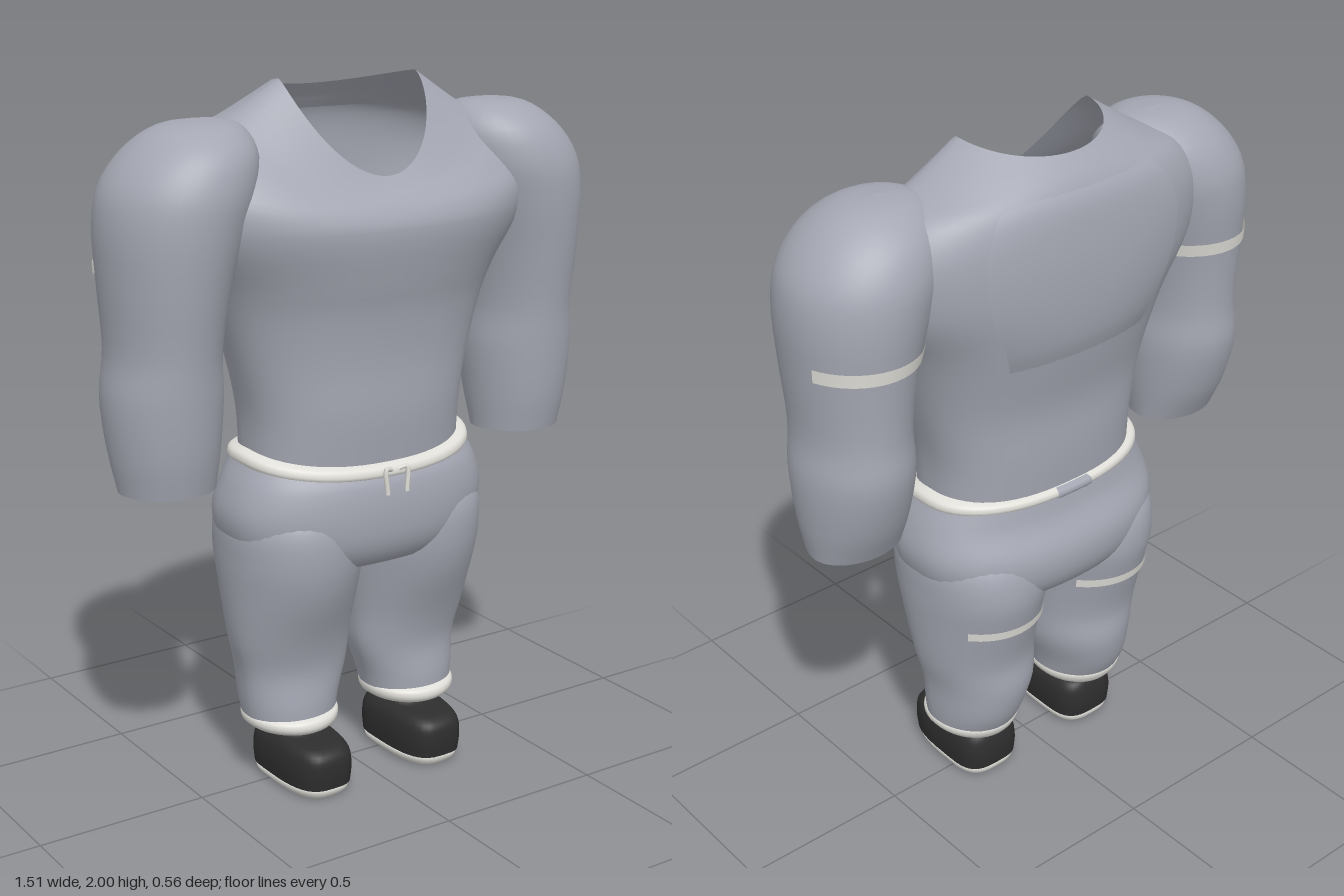
import * as THREE from 'three';

const make = (name, color) => {
  const m = new THREE.MeshStandardMaterial({ color, side: THREE.DoubleSide });
  m.name = name;
  return m;
};

// One ring point. Ring: [y, centreX, radiusX, zFront, zBack, squareness, yFront, yBack]
function ringPoint([y, cx, rx, zF, zB, n = 2, yF = y, yB = y], angle) {
  const c = Math.cos(angle), s = Math.sin(angle);
  const px = Math.sign(c) * Math.abs(c) ** (2 / n);
  const pz = Math.abs(s) ** (2 / n);
  return new THREE.Vector3(cx + rx * px,
    y + ((s > 0 ? yF : yB) - y) * Math.abs(s) ** 1.3,
    pz * (s > 0 ? zF : zB));
}

// Skin a smooth surface through rings listed bottom to top; a0..a1 limits it to a sector
function loft(rings, steps = 4, a0 = 0, a1 = Math.PI * 2, seg = 40) {
  const closed = a1 - a0 > 6.28;
  const cols = closed ? seg : seg + 1;
  const rows = (rings.length - 1) * steps + 1;
  const pos = [], index = [];
  for (let j = 0; j < cols; j++) {
    const angle = a0 + (a1 - a0) * j / seg;
    const curve = new THREE.CatmullRomCurve3(rings.map(r => ringPoint(r, angle)));
    for (let i = 0; i < rows; i++) pos.push(...curve.getPoint(i / (rows - 1)).toArray());
  }
  for (let j = 0; j < seg; j++) {
    for (let i = 0; i < rows - 1; i++) {
      const a = j * rows + i, b = ((j + 1) % cols) * rows + i;
      index.push(a, a + 1, b, b, a + 1, b + 1);
    }
  }
  const g = new THREE.BufferGeometry();
  g.setAttribute('position', new THREE.Float32BufferAttribute(pos, 3));
  g.setIndex(index);
  g.computeVertexNormals();
  return g;
}

const mirror = (rings, side) => rings.map(([y, cx, ...rest]) => [y, cx * side, ...rest]);
const inflate = ([y, cx, rx, f, b, ...rest], k) => [y, cx, rx * k, f * k, b * k, ...rest];

export function createModel() {
  const cloth = make('grey cloth', 0xa4a7b2);
  const trim = make('pale trim', 0xdfded8);
  const black = make('shoe black', 0x2e2e2e);

  const model = new THREE.Group();
  model.name = 'outfit';
  const add = (name, geometry, material) => {
    const mesh = new THREE.Mesh(geometry, material);
    mesh.name = name;
    model.add(mesh);
    return mesh;
  };

  // Shirt body: widens into the sleeves at the chest and ends in a scooped neckline
  const torso = [
    [0.96, 0, 0.33, 0.2, -0.2, 2.4],
    [1.1, 0, 0.335, 0.213, -0.21, 2.4],
    [1.25, 0, 0.37, 0.215, -0.215, 2.3],
    [1.39, 0, 0.415, 0.232, -0.245, 2.2],
    [1.48, 0, 0.455, 0.254, -0.262, 2.2],
    [1.62, 0, 0.54, 0.278, -0.274, 2.3],
    [1.75, 0, 0.55, 0.26, -0.27, 2.4, 1.67, 1.77],
    [1.845, 0, 0.49, 0.235, -0.258, 2.3, 1.7, 1.86],
    [1.902, 0, 0.375, 0.215, -0.235, 2.2, 1.72, 1.91],
    [2, 0, 0.22, 0.19, -0.19, 2, 1.75, 1.96],
  ];
  add('shirtBody', loft(torso, 4, 0, Math.PI * 2, 64), cloth);

  // Raised back panel, sinking into the shirt at top and bottom
  const lift = [0.98, 1.03, 1.035, 1.03, 1.02, 0.98];
  add('backPanel', loft(torso.slice(3, 9).map((r, i) => inflate(r, lift[i])),
    4, Math.PI * 1.33, Math.PI * 1.67, 24), cloth);

  // Hips, open underneath where the legs join
  add('hips', loft([
    [0.645, 0, 0.2, 0.08, -0.1, 2.4],
    [0.67, 0, 0.3, 0.19, -0.215, 2.4],
    [0.73, 0, 0.383, 0.232, -0.256, 2.4],
    [0.82, 0, 0.409, 0.245, -0.262, 2.4],
    [0.91, 0, 0.388, 0.237, -0.225, 2.4],
    [0.98, 0, 0.355, 0.218, -0.212, 2.4, 0.95, 0.98],
  ], 4, 0, Math.PI * 2, 56), cloth);

  // Gusset closing the seam between the legs
  const gusset = add('gusset', new THREE.SphereGeometry(1, 20, 12), cloth);
  gusset.scale.set(0.05, 0.025, 0.12);
  gusset.position.set(0, 0.66, -0.015);

  // Thin waistband, dipping at the front, with a cloth flap over it at the back
  const band = [
    [0.965, 0, 0.35, 0.21, -0.205, 2.3, 0.925, 0.96],
    [0.978, 0, 0.366, 0.232, -0.219, 2.3, 0.934, 0.972],
    [1.0, 0, 0.362, 0.228, -0.217, 2.3, 0.957, 0.988],
    [1.01, 0, 0.335, 0.205, -0.202, 2.3, 0.967, 0.995],
  ];
  add('waistband', loft(band, 3, 0, Math.PI * 2, 56), trim);
  add('backFlap', loft(band.map(r => inflate(r, 1.025)), 3, Math.PI * 1.46, Math.PI * 1.54, 8), cloth);

  for (const side of [1, -1]) {
    const sideName = side > 0 ? 'left' : 'right';
    const limb = (name, rings, material, ...rest) =>
      add(sideName + name, loft(mirror(rings, side), ...rest), material);

    // Drawstring end
    const cord = new THREE.CatmullRomCurve3([
      new THREE.Vector3(0.012 * side, 0.95, 0.229),
      new THREE.Vector3(0.034 * side, 0.955, 0.237),
      new THREE.Vector3(0.032 * side, 0.885, 0.242),
    ]);
    add(sideName + 'Drawstring', new THREE.TubeGeometry(cord, 12, 0.007, 6), trim);

    // Sleeve with a rounded shoulder and open wrist
    const sleeve = [
      [0.945, 0.587, 0.135, 0.135, -0.1],
      [1.05, 0.59, 0.15, 0.155, -0.15],
      [1.2, 0.59, 0.16, 0.17, -0.19],
      [1.32, 0.586, 0.15, 0.18, -0.185],
      [1.5, 0.577, 0.17, 0.205, -0.195],
      [1.65, 0.556, 0.197, 0.222, -0.21],
      [1.75, 0.53, 0.205, 0.22, -0.205],
      [1.84, 0.495, 0.175, 0.185, -0.165],
      [1.9, 0.47, 0.11, 0.105, -0.085],
      [1.915, 0.465, 0.0005, 0.0005, -0.0005],
    ];
    limb('Sleeve', sleeve, cloth);
    limb('SleeveLining', sleeve.slice(0, 3).map(r => inflate(r, 0.95)), trim);

    // Pale slit across the back of the sleeve
    limb('SleeveSlit', [
      [1.515, 0.577, 0.176, 0.21, -0.203],
      [1.552, 0.573, 0.182, 0.215, -0.208],
    ], trim, 1, Math.PI * 1.12, Math.PI * 1.88, 20);

    // Trouser leg, blending into the hips and gathered above the ankle
    limb('TrouserLeg', [
      [0.19, 0.205, 0.135, 0.12, -0.13, 2, 0.19, 0.17],
      [0.25, 0.203, 0.145, 0.12, -0.17],
      [0.35, 0.192, 0.165, 0.115, -0.192],
      [0.45, 0.2, 0.18, 0.14, -0.19],
      [0.6, 0.202, 0.194, 0.2, -0.228],
      [0.7, 0.202, 0.199, 0.222, -0.248, 2.1],
      [0.8, 0.202, 0.195, 0.22, -0.235, 2.1],
      [0.88, 0.19, 0.165, 0.18, -0.18, 2.1],
    ], cloth);

    // Pale slit across the back of the thigh
    limb('ThighSlit', [
      [0.585, 0.202, 0.197, 0.2, -0.231],
      [0.612, 0.202, 0.199, 0.21, -0.236],
    ], trim, 1, Math.PI * 1.3, Math.PI * 1.75, 16);

    // Rolled ankle cuff, lower at the heel
    limb('Cuff', [
      [0.18, 0.203, 0.1, 0.1, -0.1, 2, 0.18, 0.168],
      [0.176, 0.203, 0.122, 0.127, -0.125, 2, 0.172, 0.16],
      [0.192, 0.205, 0.138, 0.141, -0.141, 2, 0.188, 0.178],
      [0.21, 0.205, 0.139, 0.137, -0.147, 2, 0.208, 0.2],
      [0.22, 0.205, 0.128, 0.115, -0.135, 2, 0.218, 0.212],
    ], trim, 3);

    // Hollow shoe with a flat, boxy toe
    limb('Shoe', [
      [0.032, 0.192, 0.099, 0.215, -0.108, 3.2],
      [0.08, 0.192, 0.102, 0.22, -0.112, 3.2],
      [0.125, 0.192, 0.096, 0.215, -0.107, 3.2],
      [0.147, 0.193, 0.083, 0.185, -0.097, 3],
      [0.156, 0.196, 0.071, 0.085, -0.083, 2.3],
      [0.2, 0.198, 0.08, 0.085, -0.085, 2],
      [0.24, 0.202, 0.125, 0.105, -0.125, 2],
    ], black);

    // Flat sole
    limb('Sole', [
      [0, 0.192, 0.001, 0.001, -0.001, 3],
      [0, 0.192, 0.082, 0.195, -0.092, 3],
      [0.014, 0.192, 0.095, 0.209, -0.104, 3],
      [0.034, 0.192, 0.099, 0.215, -0.108, 3],
      [0.036, 0.192, 0.001, 0.001, -0.001, 3],
    ], trim, 1);
  }
  return model;
}
